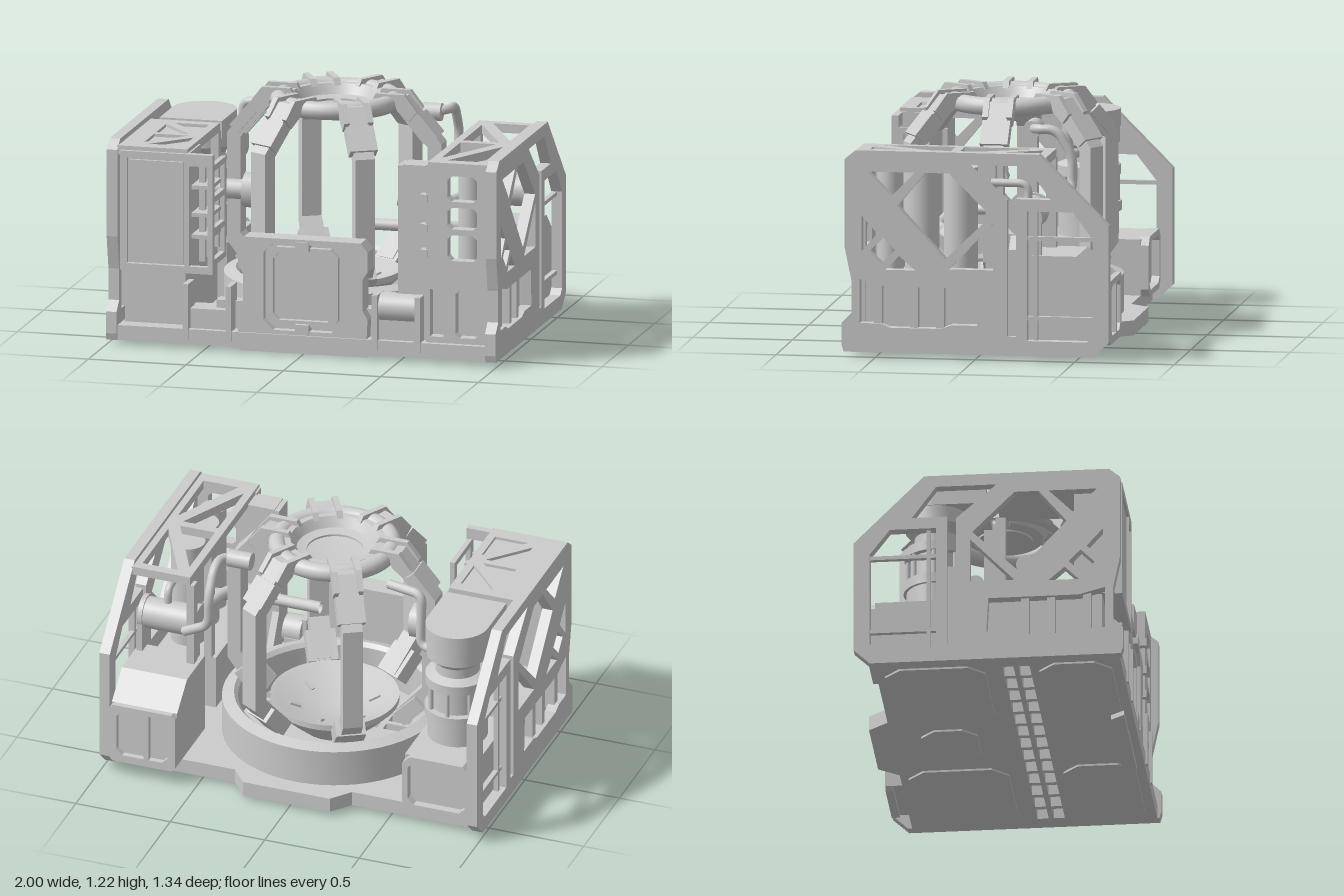
import * as THREE from 'three';
import { toCreasedNormals } from 'three/addons/utils/BufferGeometryUtils.js';

const grey = new THREE.MeshStandardMaterial({ color: 0xcccccc });
const greyOpen = new THREE.MeshStandardMaterial({ color: 0xcccccc, side: THREE.DoubleSide });

export function createModel() {
  const root = new THREE.Group();
  const add = (name, geo, x = 0, y = 0, z = 0, mat = grey, parent = root) => {
    const m = new THREE.Mesh(geo, mat);
    m.name = name;
    m.position.set(x, y, z);
    parent.add(m);
    return m;
  };
  // box from its limits
  const box = (name, x0, x1, y0, y1, z0, z1) =>
    add(name, new THREE.BoxGeometry(x1 - x0, y1 - y0, z1 - z0), (x0 + x1) / 2, (y0 + y1) / 2, (z0 + z1) / 2);
  const v2 = (pts) => pts.map(([a, b]) => new THREE.Vector2(a, b));
  const extrude = (pts, holes, depth) => {
    const s = new THREE.Shape(v2(pts));
    holes.forEach((h) => s.holes.push(new THREE.Path(v2(h))));
    return new THREE.ExtrudeGeometry(s, { depth, bevelEnabled: false });
  };
  // plates: side uses (z, y), deck uses (x, z), face uses (x, y)
  const side = (name, pts, holes, x0, x1) => add(name, extrude(pts, holes, x1 - x0).rotateY(-Math.PI / 2), x1);
  const deck = (name, pts, holes, y0, y1) => add(name, extrude(pts, holes, y1 - y0).rotateX(Math.PI / 2), 0, y1);
  const face = (name, pts, holes, z0, z1) => add(name, extrude(pts, holes, z1 - z0), 0, 0, z0);
  const rect = (a, b, c, d) => [[a, c], [b, c], [b, d], [a, d]];
  // rectangle with cut corners
  const oct = (a, b, c, d, k) => [[a + k, c], [b - k, c], [b, c + k], [b, d - k], [b - k, d], [a + k, d], [a, d - k], [a, c + k]];
  const cyl = (name, r, h, x, y, z, axis = 'y', n = 32) => {
    const g = new THREE.CylinderGeometry(r, r, h, n);
    if (axis === 'x') g.rotateZ(Math.PI / 2);
    return add(name, g, x, y, z);
  };
  const lathe = (name, pts, x = 0, z = 0, parent = root) =>
    add(name, toCreasedNormals(new THREE.LatheGeometry(v2(pts), 56), 0.5), x, 0, z, greyOpen, parent);
  // pipe with straight runs and rounded bends
  const pipe = (name, pts, r) => {
    const p = pts.map((q) => new THREE.Vector3(...q));
    const path = new THREE.CurvePath();
    let from = p[0];
    for (let i = 1; i < p.length; i++) {
      if (i === p.length - 1) { path.add(new THREE.LineCurve3(from, p[i])); break; }
      const a = p[i].clone().add(p[i - 1].clone().sub(p[i]).setLength(0.05));
      const b = p[i].clone().add(p[i + 1].clone().sub(p[i]).setLength(0.05));
      path.add(new THREE.LineCurve3(from, a));
      path.add(new THREE.QuadraticBezierCurve3(a, p[i], b));
      from = b;
    }
    add(name, new THREE.TubeGeometry(path, 48, r, 12), 0, 0, 0, greyOpen);
  };
  // triangular openings of a diagonal truss, n bays along the second axis
  const truss = (a, b, c, d, n, t = 0.035) => {
    const holes = [], step = (d - c) / n;
    for (let i = 0; i < n; i++) {
      const p = c + i * step, q = p + step - t, [l, r] = i % 2 ? [b, a] : [a, b];
      const e = Math.sign(r - l) * t;
      holes.push([[l, p + t], [l, q], [r - e, q]], [[l + e, p], [r, p], [r, q - t]]);
    }
    return holes;
  };

  // base deck with grating slots and a rear bulge
  const slots = [];
  for (let i = 0; i < 13; i++)
    for (const z of [0.06, 0.14]) slots.push(rect(i * 0.14 - 0.895, i * 0.14 - 0.785, z, z + 0.055));
  deck('baseDeck', [[-1, 0.65], [-1, -0.57], [-0.3, -0.57], [-0.22, -0.67], [0.24, -0.67], [0.32, -0.57], [1, -0.57], [1, 0.65]], slots, 0.025, 0.1);
  deck('frontSkid', [[-0.33, 0.61], [-0.28, 0.54], [0.28, 0.54], [0.33, 0.61]], [], 0, 0.03);
  deck('bellyPlate', oct(-0.19, 0.19, -0.42, -0.14, 0.07), [], 0.015, 0.03);
  for (const s of [-1, 1]) {
    deck('bellyPlate', oct(s * 0.6 - 0.32, s * 0.6 + 0.32, -0.53, -0.03, 0.08), [], 0.015, 0.03);
    deck('bellyPlate', oct(s * 0.6 - 0.32, s * 0.6 + 0.32, 0.24, 0.6, 0.08), [], 0.015, 0.03);
  }

  // side walls with diagonal bracing, lower posts and backing
  const wall = [[0.66, 0.025], [0.67, 0.06], [0.67, 0.17], [0.62, 0.22], [0.62, 0.38], [0.655, 0.55], [0.655, 0.99], [0.6, 1.035],
    [-0.32, 1.035], [-0.67, 0.685], [-0.67, 0.1], [-0.59, 0.025]];
  const wallHoles = [
    [[0.54, 0.93], [0.3, 0.93], [0.42, 0.81]],
    [[0.25, 0.93], [0.13, 0.93], [-0.08, 0.72], [0.15, 0.5], [0.39, 0.76]],
    [[-0.09, 0.68], [-0.09, 0.45], [0.13, 0.45]],
    [[0.57, 0.71], [0.49, 0.62], [0.57, 0.53]],
    [[0.46, 0.6], [0.4, 0.54], [0.47, 0.47], [0.53, 0.53]],
    [[0.38, 0.51], [0.3, 0.44], [0.45, 0.44]],
    // upper rear opening running down into the seam
    [[0.04, 0.975], [-0.26, 0.975], [-0.38, 0.81], [-0.205, 0.81], [-0.205, 0.12], [-0.16, 0.12], [-0.16, 0.8]],
    [[-0.26, 0.75], [-0.49, 0.75], [-0.59, 0.62], [-0.59, 0.13], [-0.56, 0.1], [-0.26, 0.1]],
    [[0.58, 0.39], [0.45, 0.355], [0, 0.355], [-0.01, 0.17], [0.12, 0.17], [0.17, 0.15], [0.43, 0.15], [0.48, 0.17], [0.58, 0.17]],
  ];
  for (const s of [-1, 1]) {
    const at = (name, a, b, ...r) => box(name, Math.min(s * a, s * b), Math.max(s * a, s * b), ...r);
    side('sideWall', wall, wallHoles, s > 0 ? 0.945 : -1, s > 0 ? 1 : -0.945);
    at('lowerLocker', 0.62, 0.93, 0.1, 0.385, -0.04, 0.56);
    for (const z of [0.18, 0.31, 0.49]) at('wallPost', 0.92, 0.98, 0.14, 0.37, z - 0.02, z + 0.02);
    at('seamStrip', 0.945, 0.97, 0.1, 0.55, -0.21, -0.155);
    at('openingBar', 0.95, 0.975, 0.6, 0.62, -0.6, -0.25);
    at('openingBar', 0.95, 0.975, 0.2, 0.22, -0.6, -0.25);
    at('openingBar', 0.95, 0.975, 0.1, 0.75, -0.31, -0.29);
    // front brackets
    for (const x of [0.375, 0.595]) {
      at('frontBracket', x - 0.014, x + 0.014, 0.05, 0.33, 0.54, 0.66);
      at('bracketFoot', x - 0.014, x + 0.014, 0.1, 0.18, 0.4, 0.56);
    }
    at('bracketBlock', 0.38, 0.58, 0.09, 0.2, 0.48, 0.62);
    at('hatchWing', 0.3, 0.46, 0.1, 0.24, 0.49, 0.57);
  }
  cyl('frontRoller', 0.075, 0.21, 0.485, 0.255, 0.57, 'x');

  // front hatch
  face('hatchBody', [[-0.33, 0.1], [0.33, 0.1], [0.335, 0.2], [0.31, 0.24], [0.31, 0.4], [0.335, 0.44], [0.335, 0.54], [0.3, 0.585],
    [-0.3, 0.585], [-0.33, 0.54], [-0.33, 0.44], [-0.305, 0.4], [-0.305, 0.24], [-0.33, 0.2]], [oct(-0.2, 0.2, 0.12, 0.56, 0.05)], 0.53, 0.64);
  face('hatchDoor', oct(-0.2, 0.2, 0.12, 0.56, 0.05), [], 0.53, 0.595);
  face('hatchRim', oct(-0.18, 0.18, 0.14, 0.54, 0.04), [oct(-0.155, 0.155, 0.17, 0.51, 0.03)], 0.59, 0.625);
  for (const y of [0.13, 0.55]) box('hatchLatch', -0.035, 0.035, y - 0.025, y + 0.025, 0.58, 0.65);

  // cabinet with cage on the negative x side
  box('cabinet', -0.93, -0.58, 0.39, 0.99, 0.42, 0.635);
  face('cabinetFrame', rect(-0.93, -0.455, 0.385, 0.99), [rect(-0.895, -0.6, 0.42, 0.955), rect(-0.575, -0.48, 0.42, 0.93)], 0.625, 0.66);
  face('cabinetDoor', rect(-0.885, -0.61, 0.43, 0.945), [], 0.63, 0.65);
  side('cageSide', rect(0.38, 0.63, 0.42, 0.93), [0, 1, 2].map((i) => rect(0.41, 0.6, 0.45 + i * 0.16, 0.58 + i * 0.16)), -0.485, -0.46);
  for (const z of [0.4, 0.5]) box('cagePost', -0.56, -0.53, 0.42, 0.93, z, z + 0.03);
  for (const y of [0.55, 0.66, 0.8]) box('cageShelf', -0.58, -0.48, y, y + 0.02, 0.4, 0.6);
  deck('cabinetRoof', rect(-0.95, -0.59, 0.02, 0.64), truss(-0.84, -0.63, 0.08, 0.6, 2), 0.995, 1.01);
  deck('cabinetRoofPan', rect(-0.95, -0.59, 0.02, 0.64), [], 0.965, 0.995);
  box('innerRail', -0.63, -0.59, 0.385, 0.97, 0, 0.05);
  cyl('knobStem', 0.05, 0.2, -0.52, 0.71, 0.15, 'x', 16);
  cyl('knob', 0.09, 0.07, -0.39, 0.71, 0.15, 'x', 8);

  // rear tank on the negative x side, with a rounded lid
  const lid = new THREE.Shape();
  lid.moveTo(-0.91, -0.02).lineTo(-0.91, -0.28).absarc(-0.75, -0.28, 0.16, Math.PI, Math.PI * 2, false).lineTo(-0.59, -0.02);
  add('tankLid', toCreasedNormals(new THREE.ExtrudeGeometry(lid, { depth: 0.09, bevelEnabled: false, curveSegments: 24 }).rotateX(Math.PI / 2), 0.5), 0, 1.01);
  lathe('rearTank', [[0, 0.38], [0.15, 0.38], [0.15, 0.5], [0.165, 0.5], [0.165, 0.55], [0.13, 0.55], [0.13, 0.68], [0.16, 0.68],
    [0.16, 0.73], [0.11, 0.75], [0.11, 0.8], [0.155, 0.84], [0.155, 0.92], [0, 0.92]], -0.75, -0.28);
  for (let i = 0; i < 8; i++) {
    const a = i * Math.PI / 4;
    cyl('tankRod', 0.012, 0.14, -0.75 + 0.145 * Math.cos(a), 0.615, -0.28 + 0.145 * Math.sin(a), 'y', 8);
  }
  box('rearLocker', -0.945, -0.58, 0.1, 0.38, -0.57, -0.08);
  face('rearLockerPanel', oct(-0.94, -0.58, 0.09, 0.39, 0.04), [oct(-0.91, -0.61, 0.12, 0.36, 0.03)], -0.61, -0.56);

  // open frame on the positive x side
  face('frameFront', rect(0.63, 0.945, 0.1, 1), [oct(0.74, 0.89, 0.82, 0.95, 0.02), oct(0.74, 0.89, 0.68, 0.79, 0.02), oct(0.74, 0.89, 0.52, 0.65, 0.02),
    rect(0.65, 0.72, 0.13, 0.37), oct(0.78, 0.9, 0.13, 0.37, 0.02)], 0.56, 0.62);
  for (const y of [0.55, 0.68, 0.83]) box('frameHinge', 0.6, 0.64, y - 0.02, y + 0.02, 0.57, 0.63);
  box('frameColumn', 0.5, 0.64, 0.1, 0.985, 0.46, 0.58);
  side('columnBrace', [[0.58, 0.1], [0.3, 0.1], [0.46, 0.4], [0.46, 0.98], [0.58, 0.98]], [], 0.475, 0.51);
  deck('frameRoof', rect(0.64, 0.95, -0.35, 0.62), truss(0.68, 0.91, -0.3, 0.6, 2, 0.045), 0.97, 1.015);
  box('frameRail', 0.64, 0.68, 0.385, 0.97, -0.05, 0);
  box('frameRearPost', 0.62, 0.66, 0.1, 0.97, -0.35, -0.3);
  for (const z of [0.1, 0.295, 0.455]) cyl('gasBottle', z > 0.4 ? 0.065 : 0.085, 0.56, 0.82, 0.66, z);

  // rear machine cabinet with sloped top and an open panel
  side('machineCabinet', [[-0.25, 0.1], [-0.25, 0.52], [-0.5, 0.52], [-0.64, 0.4], [-0.64, 0.1]], [], 0.6, 0.945);
  face('machinePanel', oct(0.6, 0.95, 0.08, 0.4, 0.02), [oct(0.64, 0.91, 0.12, 0.37, 0.03)], -0.67, -0.63);
  box('panelMullion', 0.74, 0.765, 0.12, 0.37, -0.67, -0.63);
  cyl('motor', 0.08, 0.28, 0.78, 0.7, -0.235, 'x');
  for (const x of [0.64, 0.92]) {
    cyl('motorFlange', 0.09, 0.025, x, 0.7, -0.235, 'x');
    box('motorBracket', x - 0.015, x + 0.015, 0.5, 0.7, -0.32, -0.25);
  }

  // round tub with dish, hoop and tabs
  const dome = new THREE.Group();
  dome.name = 'dome';
  dome.position.z = -0.015;
  root.add(dome);
  lathe('tub', [[0.56, 0.1], [0.56, 0.29], [0.5, 0.31], [0.48, 0.29], [0.48, 0.1]], 0, 0, dome);
  lathe('dish', [[0, 0.1], [0.16, 0.12], [0.24, 0.19], [0.32, 0.27], [0.32, 0.3], [0.29, 0.29], [0.18, 0.24], [0, 0.215]], 0, 0, dome);
  for (let i = 0; i < 6; i++) {
    const a = (i + 0.5) * Math.PI / 3;
    const m = add('dishTab', new THREE.BoxGeometry(0.06, 0.02, 0.02), 0.2 * Math.cos(a), 0.25, 0.2 * Math.sin(a), grey, dome);
    m.rotation.set(0, -a, 0.4);
  }

  // dome ribs with paired claws that hold the crown ring
  const ribPts = [[0.3, 1.19], [0.36, 1.195], [0.55, 0.97], [0.55, 0.42], [0.41, 0.24], [0.34, 0.3], [0.48, 0.46], [0.48, 0.95], [0.33, 1.12]];
  const clawPts = [[0.2, 1.18], [0.22, 1.215], [0.365, 1.215], [0.43, 1.13], [0.39, 1.08], [0.33, 1.13], [0.31, 1.19]];
  for (let i = 0; i < 6; i++) {
    const rib = new THREE.Group();
    rib.name = 'domeRib';
    rib.rotation.y = i * Math.PI / 3;
    dome.add(rib);
    add('ribBeam', extrude(ribPts, [], 0.1), 0, 0, -0.05, grey, rib);
    for (const z of [-0.075, 0.045]) add('ribClaw', extrude(clawPts, [], 0.03), 0, 0, z, grey, rib);
    add('ribFoot', new THREE.BoxGeometry(0.16, 0.08, 0.15), 0.42, 0.32, 0, grey, rib).rotation.z = 0.8;
    add('ribPad', new THREE.BoxGeometry(0.14, 0.05, 0.07), 0.43, 1.03, 0, grey, rib).rotation.z = -0.86;
    add('ribHead', new THREE.BoxGeometry(0.14, 0.06, 0.14), 0.465, 1.045, 0, grey, rib).rotation.z = -0.86;
  }
  add('crownRing', new THREE.TorusGeometry(0.285, 0.045, 16, 64).rotateX(Math.PI / 2), 0, 1.16, 0, grey, dome);
  lathe('crownBowl', [[0.25, 1.19], [0.22, 1.19], [0.19, 1.14], [0.14, 1.13], [0.14, 1.12], [0, 1.12]], 0, 0, dome);

  // pipes between the dome and the side units
  pipe('archPipe', [[0.4, 1.08, -0.19], [0.52, 1.09, -0.22], [0.52, 1.09, -0.33], [0.52, 0.96, -0.41], [0.52, 0.8, -0.41], [0.66, 0.72, -0.38]], 0.024);
  pipe('archPipe', [[-0.34, 1.08, -0.16], [-0.53, 1.08, -0.2], [-0.53, 0.8, -0.22], [-0.62, 0.8, -0.24]], 0.024);
  pipe('feedPipe', [[0.36, 0.7, 0.15], [0.55, 0.7, 0.15], [0.62, 0.7, 0.08], [0.66, 0.7, -0.1]], 0.028);
  pipe('motorPipe', [[0.8, 0.86, -0.05], [0.8, 0.86, -0.235], [0.8, 0.74, -0.235]], 0.02);
  cyl('pipeCollar', 0.045, 0.04, 0.44, 0.7, 0.15, 'x', 16);
  pipe('drainPipe', [[0.18, 0.6, 0.26], [0.56, 0.6, 0.26], [0.72, 0.6, 0.2]], 0.03);
  cyl('ribJoint', 0.045, 0.12, 0.43, 1.08, -0.2, 'x', 16);
  return root;
}
